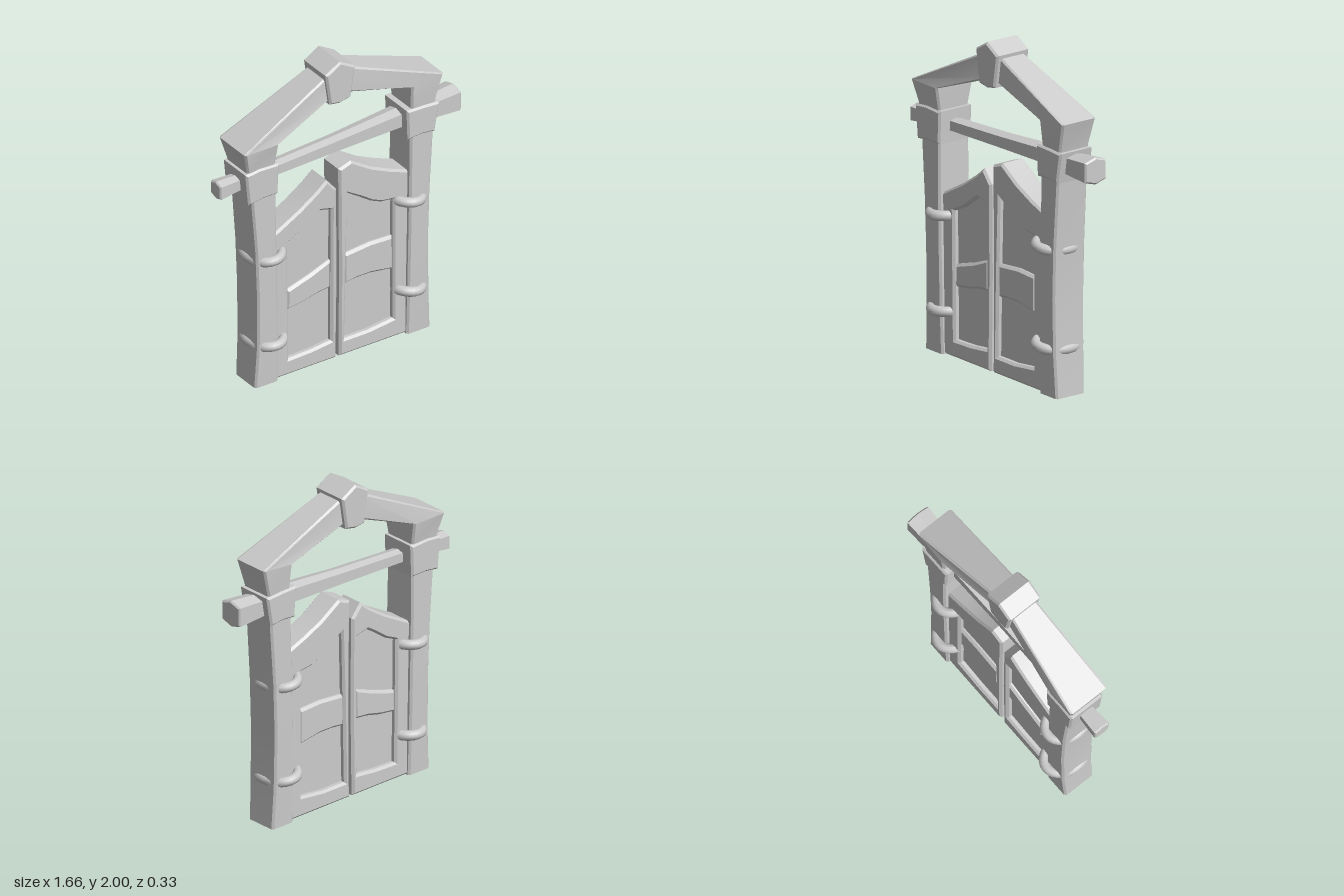
import * as THREE from 'three';
import { toCreasedNormals } from 'three/addons/utils/BufferGeometryUtils.js';

const material = new THREE.MeshStandardMaterial({ color: 0xcccccc, side: THREE.DoubleSide });

// Skin a list of equal-sized rings (arrays of Vector3), optionally capping the ends.
function loft(rings, capStart, capEnd) {
  const pos = [];
  const tri = (...pts) => pts.forEach((p) => pos.push(p.x, p.y, p.z));
  const n = rings[0].length;
  for (let i = 0; i < rings.length - 1; i++) {
    for (let j = 0; j < n; j++) {
      const k = (j + 1) % n;
      tri(rings[i][j], rings[i][k], rings[i + 1][k]);
      tri(rings[i][j], rings[i + 1][k], rings[i + 1][j]);
    }
  }
  const last = rings[rings.length - 1];
  for (let j = 1; j < n - 1; j++) {
    if (capStart) tri(rings[0][0], rings[0][j + 1], rings[0][j]);
    if (capEnd) tri(last[0], last[j], last[j + 1]);
  }
  const g = new THREE.BufferGeometry();
  g.setAttribute('position', new THREE.Float32BufferAttribute(pos, 3));
  return toCreasedNormals(g, 0.3);
}

// Timber with chamfered rectangular sections: each station is [ax, ay, bx, by, halfDepth].
function timber(stations, c = 0.012) {
  return loft(stations.map(([ax, ay, bx, by, h]) => {
    const t = c / Math.hypot(bx - ax, by - ay);
    const at = (u, z) => new THREE.Vector3(ax + (bx - ax) * u, ay + (by - ay) * u, z);
    return [at(t, h), at(1 - t, h), at(1, h - c), at(1, c - h),
      at(1 - t, -h), at(t, -h), at(0, c - h), at(0, h - c)];
  }), false, false);
}

// Bevelled plate centred on z = 0, from outline points, with an optional hole.
function plate(points, half, bevel, hole) {
  const v = (list) => list.map(([x, y]) => new THREE.Vector2(x, y));
  const shape = new THREE.Shape(v(points));
  if (hole) shape.holes.push(new THREE.Path(v(hole)));
  const g = new THREE.ExtrudeGeometry(shape, {
    depth: 2 * (half - bevel), bevelEnabled: bevel > 0, bevelThickness: bevel,
    bevelSize: bevel, bevelOffset: -bevel, bevelSegments: 1,
  });
  g.translate(0, 0, bevel - half);
  return toCreasedNormals(g, 0.3);
}

export function createModel() {
  const model = new THREE.Group();
  model.name = 'swingDoorGate';
  const add = (name, geometry, parent = model) => {
    const mesh = new THREE.Mesh(geometry, material);
    mesh.name = name;
    parent.add(mesh);
    return mesh;
  };

  // Posts, open underneath
  add('rightPost', timber([
    [-0.625, 0, -0.463, 0, 0.103], [-0.612, 0.25, -0.466, 0.25, 0.11],
    [-0.612, 0.6, -0.472, 0.6, 0.113], [-0.625, 0.92, -0.478, 0.92, 0.113],
    [-0.655, 1.3, -0.484, 1.3, 0.11],
  ]));
  add('leftPost', timber([
    [0.434, 0, 0.597, 0, 0.103], [0.436, 0.25, 0.585, 0.25, 0.11],
    [0.442, 0.6, 0.58, 0.6, 0.113], [0.448, 0.92, 0.59, 0.92, 0.113],
    [0.455, 1.35, 0.618, 1.35, 0.11],
  ]));

  // Bent arch beams meeting at the keystone
  add('rightArch', timber([
    [-0.675, 1.42, -0.49, 1.42, 0.105], [-0.685, 1.48, -0.485, 1.48, 0.11],
    [-0.718, 1.61, -0.478, 1.61, 0.135], [-0.09, 1.925, -0.07, 1.762, 0.088],
  ]));
  add('leftArch', timber([
    [0.465, 1.45, 0.625, 1.45, 0.105], [0.462, 1.51, 0.632, 1.51, 0.108],
    [0.455, 1.66, 0.678, 1.68, 0.122], [0.0, 1.765, 0.02, 1.935, 0.085],
  ]));
  add('keystone', plate([
    [-0.112, 1.735], [-0.04, 1.724], [0.035, 1.74], [0.066, 1.94], [-0.04, 2], [-0.142, 1.94],
  ], 0.118, 0.012));

  // Collars holding the crossbar
  add('rightCollar', plate([
    [-0.68, 1.255], [-0.58, 1.268], [-0.475, 1.268], [-0.467, 1.468], [-0.6, 1.474], [-0.7, 1.462],
  ], 0.12, 0.012));
  add('leftCollar', plate([
    [0.432, 1.313], [0.53, 1.32], [0.62, 1.31], [0.652, 1.498], [0.54, 1.506], [0.425, 1.508],
  ], 0.12, 0.012));

  // Crossbar: six-sided, thicker toward its left end: [x, bottom, top, halfDepth]
  const barStations = [
    [-0.833, 1.308, 1.403, 0.043], [-0.825, 1.298, 1.412, 0.052], [-0.69, 1.316, 1.408, 0.045],
    [-0.47, 1.33, 1.41, 0.042], [0, 1.345, 1.438, 0.046], [0.43, 1.358, 1.475, 0.058],
    [0.65, 1.346, 1.483, 0.068], [0.823, 1.338, 1.502, 0.077], [0.832, 1.348, 1.492, 0.068],
  ];
  add('crossbar', loft(barStations.map(([x, y0, y1, h]) => {
    const s = (y1 - y0) * 0.14;
    return [[y0, 0], [y0 + s, -h], [y1 - s, -h], [y1, 0], [y1 - s, h], [y0 + s, h]]
      .map(([y, z]) => new THREE.Vector3(x, y, z));
  }), true, true));

  // Doors: bevelled frame, recessed panel and raised middle rail
  const doors = [
    {
      name: 'rightDoor',
      frame: [[-0.5, 0], [-0.045, 0], [-0.036, 0.6], [-0.042, 1.13], [-0.11, 1.212],
        [-0.18, 1.155], [-0.3, 1.075], [-0.5, 0.965]],
      hole: [[-0.375, 0.105], [-0.22, 0.11], [-0.082, 0.125], [-0.08, 1.005], [-0.16, 1.025],
        [-0.22, 0.985], [-0.3, 0.925], [-0.385, 0.885]],
      rail: [[-0.385, 0.425], [-0.27, 0.44], [-0.17, 0.465], [-0.075, 0.475],
        [-0.075, 0.665], [-0.22, 0.61], [-0.385, 0.56]],
    },
    {
      name: 'leftDoor',
      frame: [[-0.024, 0], [0.46, 0], [0.46, 1.085], [0.33, 1.135], [0.2, 1.195],
        [0.06, 1.285], [-0.026, 1.255], [-0.02, 0.6]],
      hole: [[0.015, 0.105], [0.18, 0.105], [0.352, 0.125], [0.352, 0.925], [0.27, 0.935],
        [0.2, 0.965], [0.12, 1.02], [0.036, 1.075], [0.025, 0.6]],
      rail: [[0.015, 0.465], [0.1, 0.475], [0.2, 0.475], [0.358, 0.452],
        [0.358, 0.675], [0.2, 0.682], [0.015, 0.665]],
    },
  ];
  for (const { name, frame, hole, rail } of doors) {
    const door = new THREE.Group();
    door.name = name;
    model.add(door);
    add('doorFrame', plate(frame, 0.085, 0.014, hole), door);
    add('doorPanel', plate(hole, 0.05, 0), door);
    add('middleRail', plate(rail, 0.075, 0.016), door);
  }

  // Hinge rings looped through post and door: [x, y, tilt]
  const rings = [[-0.51, 0.84, 0.06], [-0.5, 0.265, 0.03], [0.47, 0.895, -0.12], [0.47, 0.295, -0.14]];
  for (const [x, y, tilt] of rings) {
    const g = new THREE.TorusGeometry(0.135, 0.031, 10, 28);
    g.rotateX(Math.PI / 2);
    g.scale(0.78, 1, 1);
    const ring = add('hingeRing', g);
    ring.position.set(x, y, 0);
    ring.rotation.z = tilt;
  }
  return model;
}
